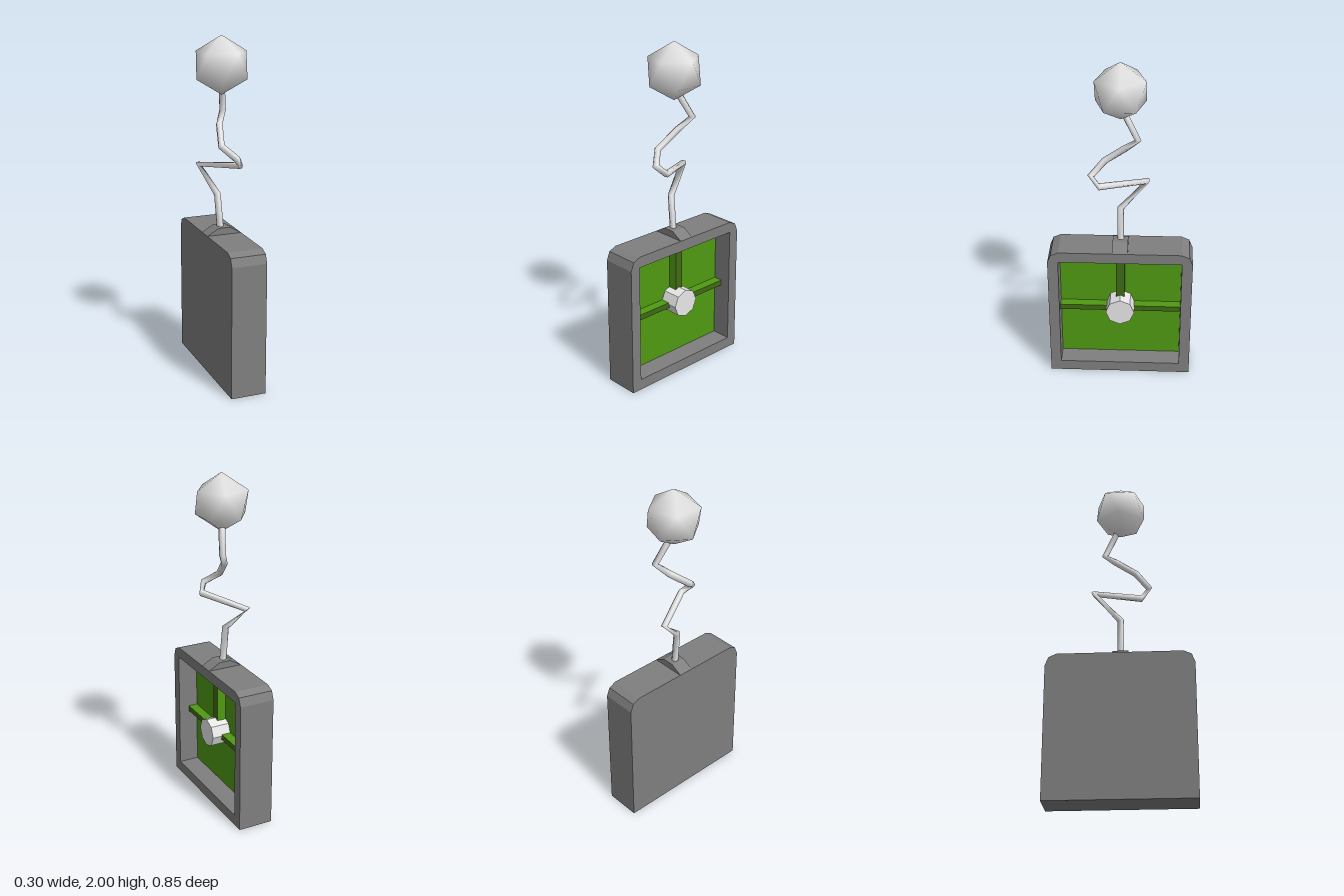
import * as THREE from 'three';

const mat = (name, color) => {
  const m = new THREE.MeshStandardMaterial({ color });
  m.name = name;
  return m;
};

// Straight runs between bend points, one ring per bend
class BentPath extends THREE.Curve {
  constructor(points) {
    super();
    this.points = points.map((p) => new THREE.Vector3(...p));
  }
  getPoint(t, target = new THREE.Vector3()) {
    const n = this.points.length - 1;
    const i = Math.min(Math.floor(t * n), n - 1);
    return target.lerpVectors(this.points[i], this.points[i + 1], t * n - i);
  }
  getUtoTmapping(u) { return u; }
}

// Twenty-sided ball with a corner at the top and at the bottom, smooth shaded
function ballGeometry(r) {
  const pos = [0, r, 0], index = [];
  const h = r / Math.sqrt(5), ring = 2 * h;
  for (let k = 0; k < 2; k++) {
    for (let i = 0; i < 5; i++) {
      const a = ((i + k / 2) * 2 * Math.PI) / 5;
      pos.push(ring * Math.cos(a), k ? -h : h, -ring * Math.sin(a));
    }
  }
  pos.push(0, -r, 0);
  for (let i = 0; i < 5; i++) {
    const j = (i + 1) % 5;
    const a = 1 + i, b = 1 + j, c = 6 + i, d = 6 + j;
    index.push(0, a, b, a, c, b, b, c, d, 11, d, c);
  }
  const g = new THREE.BufferGeometry();
  g.setAttribute('position', new THREE.Float32BufferAttribute(pos, 3));
  g.setIndex(index);
  g.computeVertexNormals();
  return g;
}

export function createModel() {
  const model = new THREE.Group();
  model.name = 'leverSwitch';
  const casing = mat('casingGrey', 0x7f7f7f);
  const green = mat('panelGreen', 0x4f9a12);
  const darkGreen = mat('ribDarkGreen', 0x406a12);
  const pale = mat('paleMetal', 0xeeeeee);

  const add = (name, geometry, material, x = 0, y = 0, z = 0) => {
    const mesh = new THREE.Mesh(geometry, material);
    mesh.name = name;
    mesh.position.set(x, y, z);
    model.add(mesh);
    return mesh;
  };

  const half = 0.105, floor = -0.017, inner = 0.362, low = 0.066, high = 0.79, midY = 0.438;

  // Casing: outline with bevelled top corners, extruded along x
  const outline = () => new THREE.Shape([
    [-0.425, 0], [0.425, 0], [0.425, 0.785], [0.405, 0.835], [0.36, 0.855],
    [-0.36, 0.855], [-0.405, 0.835], [-0.425, 0.785],
  ].map((p) => new THREE.Vector2(...p)));
  const slab = (shape, depth) =>
    new THREE.ExtrudeGeometry(shape, { depth, bevelEnabled: false }).rotateY(Math.PI / 2);
  add('casingBack', slab(outline(), floor + half), casing, -half);
  const frame = outline();
  frame.holes.push(new THREE.Path([
    [-inner, low], [-inner, high], [inner, high], [inner, low],
  ].map((p) => new THREE.Vector2(...p))));
  add('casingFrame', slab(frame, half - floor), casing, floor);

  // Recessed panel
  add('panel', new THREE.BoxGeometry(0.004, high - low, 2 * inner), green, floor, (low + high) / 2);

  // Ribs with darker outer faces
  const ribSkin = [darkGreen, green, green, green, green, green];
  const ribDepth = 0.058, ribX = floor + ribDepth / 2;
  add('crossRib', new THREE.BoxGeometry(ribDepth, 0.034, 2 * inner), ribSkin, ribX, 0.429);
  add('uprightRib', new THREE.BoxGeometry(ribDepth, high - midY, 0.05), ribSkin,
    ribX, (high + midY) / 2);

  // Eight-sided hub
  add('hub', new THREE.CylinderGeometry(0.085, 0.085, 0.117, 8).rotateZ(-Math.PI / 2).toNonIndexed(),
    pale, 0.0415, midY).geometry.computeVertexNormals();

  // Sloped collar under the rod
  const collar = new THREE.Shape([
    [-half, 0.85], [half, 0.85], [half, 0.855], [0.035, 0.895], [-0.035, 0.895], [-half, 0.855],
  ].map((p) => new THREE.Vector2(...p)));
  add('collar', new THREE.ExtrudeGeometry(collar, { depth: 0.09, bevelEnabled: false }),
    casing, 0, 0, -0.045);

  // Crooked rod
  const path = new BentPath([
    [-0.008, 0.88, 0], [-0.026, 1.09, 0], [-0.085, 1.238, -0.15], [0.066, 1.277, 0.12],
    [0.03, 1.325, 0.167], [-0.036, 1.39, 0.092], [-0.002, 1.49, -0.03], [0.045, 1.56, -0.098],
    [0.008, 1.71, -0.018],
  ]);
  add('rod', new THREE.TubeGeometry(path, path.points.length - 1, 0.02, 6), pale);

  // Ball on the end of the rod
  add('ball', ballGeometry(0.167), pale, 0, 1.833, 0);

  return model;
}
